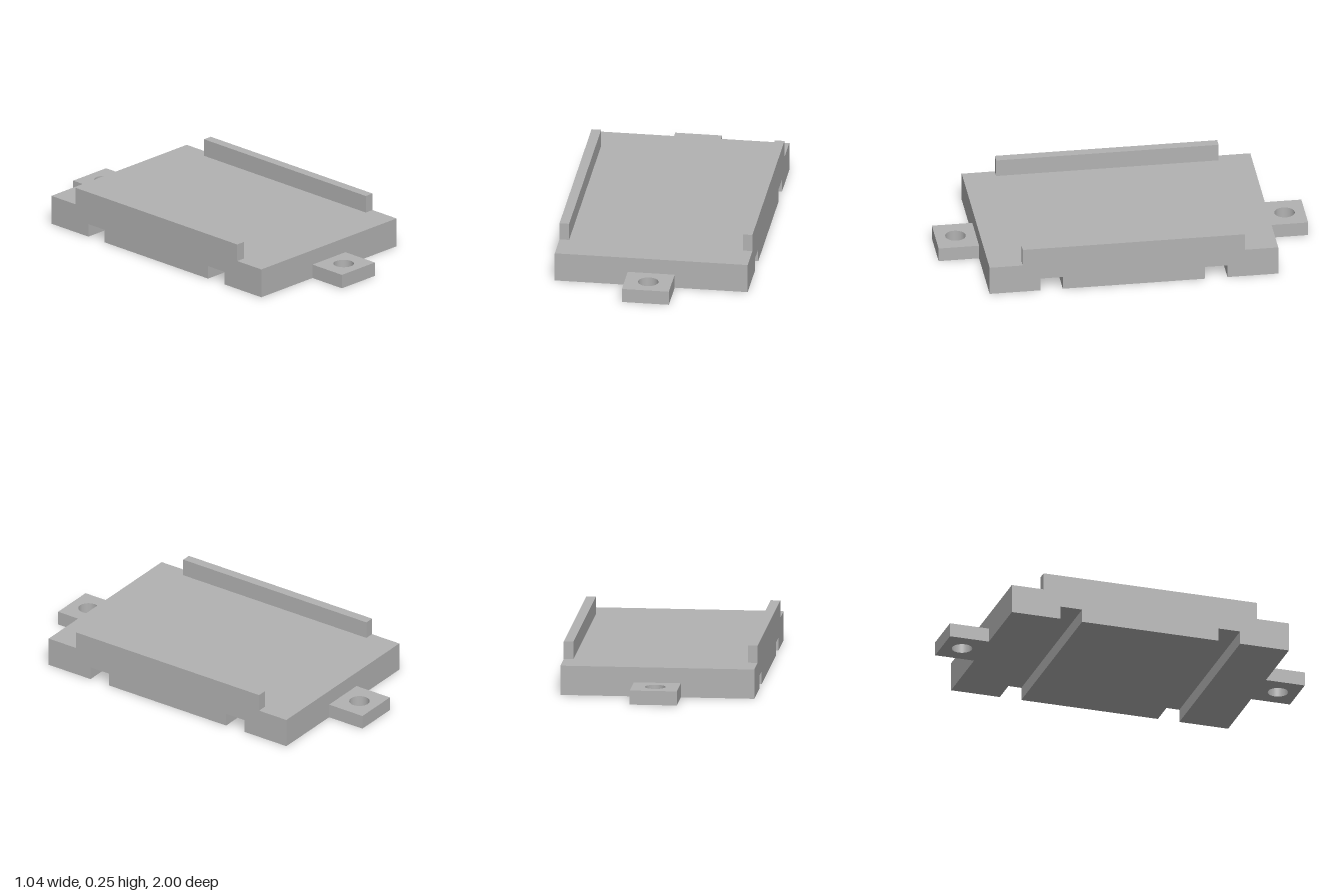
import * as THREE from 'three';

const W = 0.522, L = 0.781, H = 0.16; // base half width, half length, height

function addMesh(group, name, geometry, material) {
  const mesh = new THREE.Mesh(geometry, material);
  mesh.name = name;
  group.add(mesh);
  return mesh;
}

export function createModel() {
  const group = new THREE.Group();
  group.name = 'mountingBracket';
  const grey = new THREE.MeshStandardMaterial({ color: 0xb2b2b2 });
  grey.name = 'grey';

  // Base plate: side profile with two strap slots underneath, extruded across the width
  const a = 0.385, b = 0.506, s = 0.072;
  const profile = new THREE.Shape([
    [-L, 0], [-b, 0], [-b, s], [-a, s], [-a, 0],
    [a, 0], [a, s], [b, s], [b, 0], [L, 0], [L, H], [-L, H],
  ].map(([z, y]) => new THREE.Vector2(z, y)));
  const base = new THREE.ExtrudeGeometry(profile, { depth: 2 * W, bevelEnabled: false });
  base.translate(0, 0, -W).rotateY(-Math.PI / 2);
  addMesh(group, 'basePlate', base, grey);

  // Rails along both long edges
  const railW = 0.052, railH = 0.095;
  for (const side of [1, -1]) {
    const rail = addMesh(group, side > 0 ? 'leftRail' : 'rightRail',
      new THREE.BoxGeometry(railW, railH, 1.204), grey);
    rail.position.set(side * (W - railW / 2), H + railH / 2, 0);
  }

  // Screw tabs with a round hole at both ends
  const tabW = 0.127, tabL = 1 - L;
  const outline = new THREE.Shape([
    [-tabW, -tabL / 2], [tabW, -tabL / 2], [tabW, tabL / 2], [-tabW, tabL / 2],
  ].map(([x, y]) => new THREE.Vector2(x, y)));
  outline.holes.push(new THREE.Path().absarc(0, 0, 0.055, 0, Math.PI * 2, true));
  const tab = new THREE.ExtrudeGeometry(outline, { depth: 0.077, bevelEnabled: false, curveSegments: 32 });
  tab.rotateX(-Math.PI / 2);
  for (const side of [1, -1]) {
    addMesh(group, side > 0 ? 'frontTab' : 'backTab', tab, grey)
      .position.z = side * (L + tabL / 2);
  }
  return group;
}
